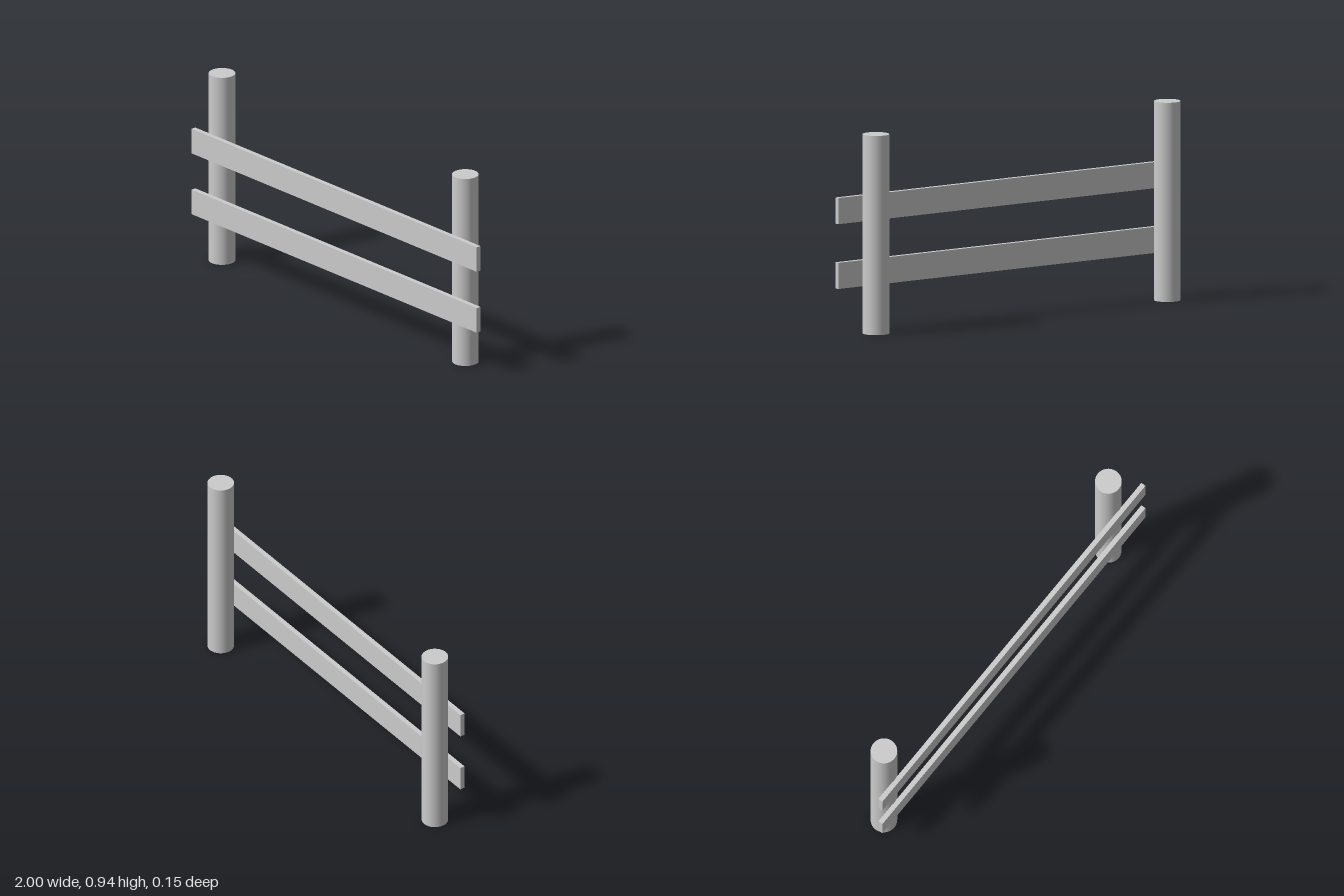
import * as THREE from 'three';

export function createModel() {
  const fence = new THREE.Group();
  fence.name = 'fence';
  const material = new THREE.MeshStandardMaterial({ color: 0xcccccc });

  function add(name, geometry, x, y, z) {
    const mesh = new THREE.Mesh(geometry, material);
    mesh.name = name;
    mesh.position.set(x, y, z);
    fence.add(mesh);
  }

  // Round upright posts, set slightly unevenly along the rails
  const height = 0.944;
  const radius = 0.0625;
  const post = new THREE.CylinderGeometry(radius, radius, height, 48);
  add('rightPost', post, -0.88, height / 2, -0.0105);
  add('leftPost', post, 0.826, height / 2, -0.0105);

  // Flat rails fixed to the front of the posts
  const rail = new THREE.BoxGeometry(2, 0.124, 0.024);
  add('lowerRail', rail, 0, 0.28, 0.062);
  add('upperRail', rail, 0, 0.587, 0.062);

  return fence;
}
